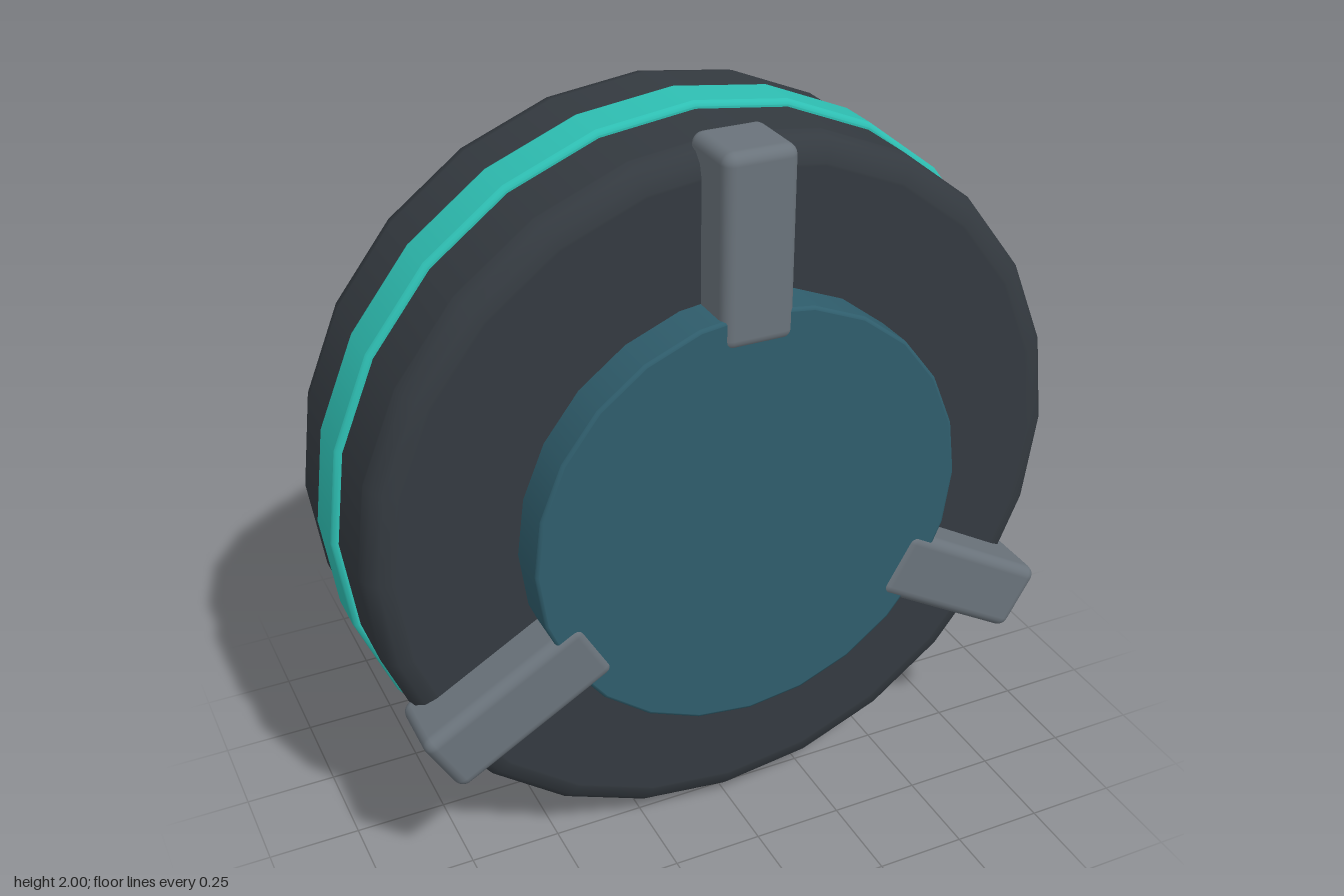
import * as THREE from 'three';
import { RoundedBoxGeometry } from 'three/addons/geometries/RoundedBoxGeometry.js';

const paint = (name, color) => {
  const m = new THREE.MeshStandardMaterial({ color });
  m.name = name;
  return m;
};

// Drum lying along z, with rounded rims and flat faces
function drum(name, radius, back, front, bevel, steps, material) {
  const points = [new THREE.Vector2(0, back)];
  const arc = (z, from) => {
    for (let i = 0; i <= steps; i++) {
      const a = from + (i / steps) * Math.PI / 2;
      points.push(new THREE.Vector2(radius - bevel + Math.cos(a) * bevel, z + Math.sin(a) * bevel));
    }
  };
  // extra points keep the faces and the wall flat in shading
  points.push(new THREE.Vector2(radius - bevel * 1.1, back));
  arc(back + bevel, -Math.PI / 2);
  points.push(new THREE.Vector2(radius, back + bevel * 1.1));
  points.push(new THREE.Vector2(radius, front - bevel * 1.1));
  arc(front - bevel, 0);
  points.push(new THREE.Vector2(radius - bevel * 1.1, front));
  points.push(new THREE.Vector2(0, front));
  const geometry = new THREE.LatheGeometry(points, 24);
  geometry.rotateX(Math.PI / 2);
  const mesh = new THREE.Mesh(geometry, material);
  mesh.name = name;
  mesh.position.y = 1;
  return mesh;
}

export function createModel() {
  const model = new THREE.Group();
  model.name = 'roundDevice';
  const charcoal = paint('charcoal', 0x343a40);
  const teal = paint('teal', 0x2ebfb3);
  const deepBlue = paint('deepBlue', 0x2f5d6c);
  const grey = paint('grey', 0x6a737b);

  model.add(
    drum('body', 0.982, -0.295, 0.315, 0.065, 3, charcoal),
    drum('band', 1.0, -0.06, 0.08, 0.012, 2, teal),
    drum('backPlate', 0.82, -0.44, -0.27, 0.015, 2, charcoal),
    drum('frontLens', 0.595, 0.29, 0.434, 0.008, 2, deepBlue),
  );

  // Three clips spaced evenly around the lens
  for (let i = 0; i < 3; i++) {
    const holder = new THREE.Group();
    holder.name = 'clip' + (i + 1);
    holder.position.y = 1;
    holder.rotation.z = (i * Math.PI * 2) / 3;
    const clip = new THREE.Mesh(new RoundedBoxGeometry(0.195, 0.5, 0.2, 3, 0.03), grey);
    clip.name = 'clipBar';
    clip.position.set(0, 0.75, 0.34);
    holder.add(clip);
    model.add(holder);
  }
  return model;
}
